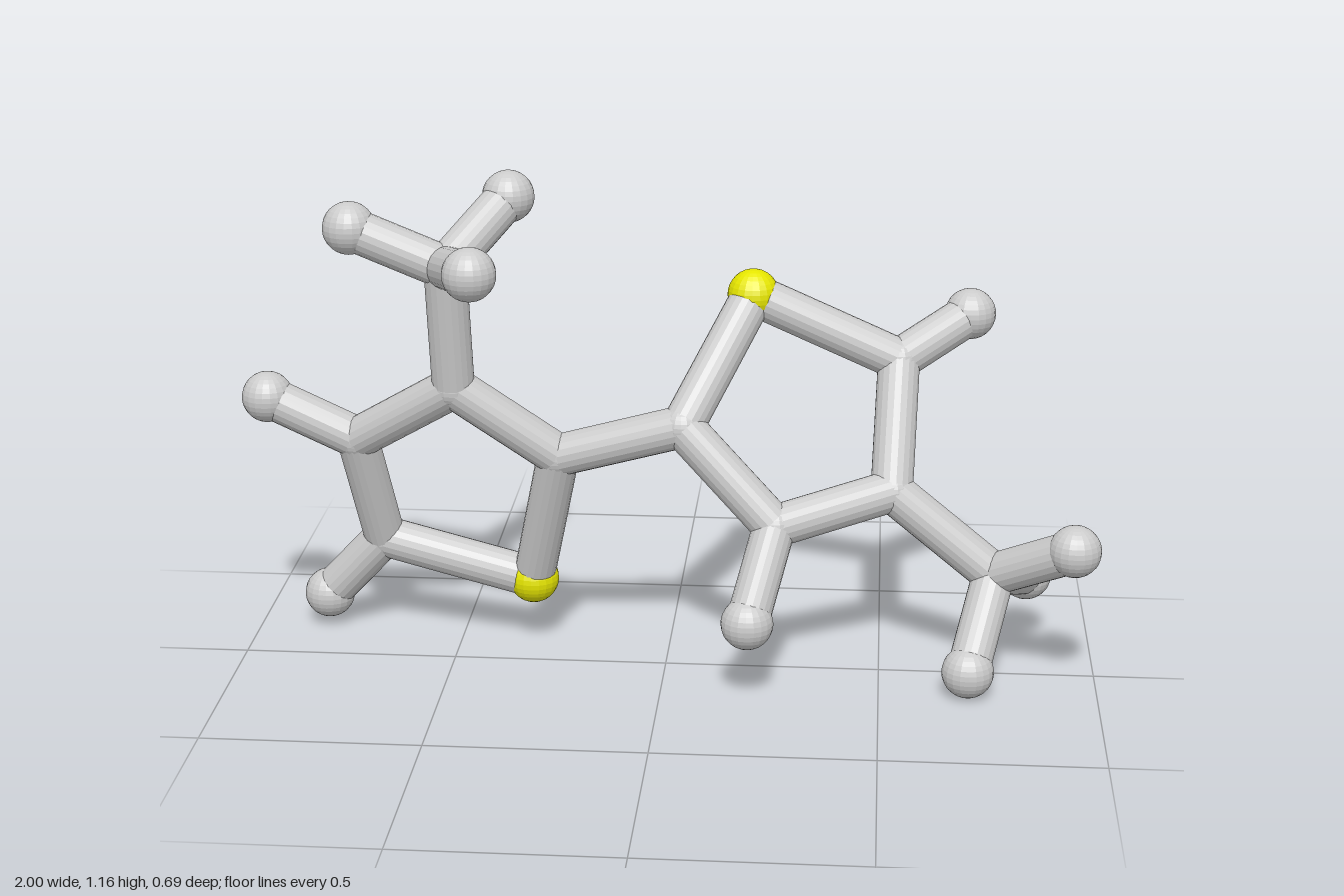
import * as THREE from 'three';

export function createModel() {
  const group = new THREE.Group();
  const grey = new THREE.MeshStandardMaterial({ color: 0xcccccc, flatShading: true });
  const yellow = new THREE.MeshStandardMaterial({ color: 0xe6e600, flatShading: true });
  const BOND = 0.049, BALL = 0.06;

  // Atom positions: c = carbon joint, s = sulphur, h = hydrogen
  const atoms = {
    // left ring
    cA2: [-0.25, 0.51, -0.01], cA3: [-0.485, 0.68, 0.025], cA4: [-0.73, 0.52, -0.07],
    cA5: [-0.69, 0.24, -0.165], sA: [-0.325, 0.163, -0.12],
    hA4: [-0.94, 0.615, -0.075], hA5: [-0.835, 0.08, -0.195],
    // left methyl
    cAm: [-0.49, 0.975, 0.07], hAm1: [-0.705, 1.062, 0.07],
    hAm2: [-0.365, 1.105, -0.08], hAm3: [-0.405, 1.018, 0.283],
    // right ring
    cB2: [0.04, 0.60, 0.03], sB: [0.19, 0.86, -0.173], cB5: [0.53, 0.71, -0.175],
    cB4: [0.52, 0.44, -0.02], cB3: [0.255, 0.387, 0.092],
    hB3: [0.20, 0.193, 0.205], hB5: [0.695, 0.793, -0.285],
    // right methyl
    cBm: [0.76, 0.25, 0.0], hBm1: [0.935, 0.355, 0.115],
    hBm2: [0.845, 0.177, -0.195], hBm3: [0.703, 0.062, 0.138],
  };
  const bonds = [
    'cA2 cA3', 'cA3 cA4', 'cA4 cA5', 'cA5 sA', 'sA cA2', 'cA4 hA4', 'cA5 hA5',
    'cA3 cAm', 'cAm hAm1', 'cAm hAm2', 'cAm hAm3', 'cA2 cB2',
    'cB2 sB', 'sB cB5', 'cB5 cB4', 'cB4 cB3', 'cB3 cB2', 'cB3 hB3', 'cB5 hB5',
    'cB4 cBm', 'cBm hBm1', 'cBm hBm2', 'cBm hBm3',
  ];

  // Balls and joints
  const kinds = { c: ['carbonJoint', BOND + 0.001], s: ['sulphurBall', BALL], h: ['hydrogenBall', BALL] };
  for (const [key, p] of Object.entries(atoms)) {
    const [name, radius] = kinds[key[0]];
    const ball = new THREE.Mesh(new THREE.SphereGeometry(radius, 20, 16), key[0] === 's' ? yellow : grey);
    ball.name = name;
    ball.position.set(...p);
    group.add(ball);
  }

  // Rods between the atoms
  const up = new THREE.Vector3(0, 1, 0);
  for (const bond of bonds) {
    const [a, b] = bond.split(' ').map((k) => new THREE.Vector3(...atoms[k]));
    const dir = b.clone().sub(a);
    const rod = new THREE.Mesh(new THREE.CylinderGeometry(BOND, BOND, dir.length(), 20), grey);
    rod.name = 'bondRod';
    rod.position.copy(a).add(b).multiplyScalar(0.5);
    rod.quaternion.setFromUnitVectors(up, dir.normalize());
    group.add(rod);
  }
  return group;
}
